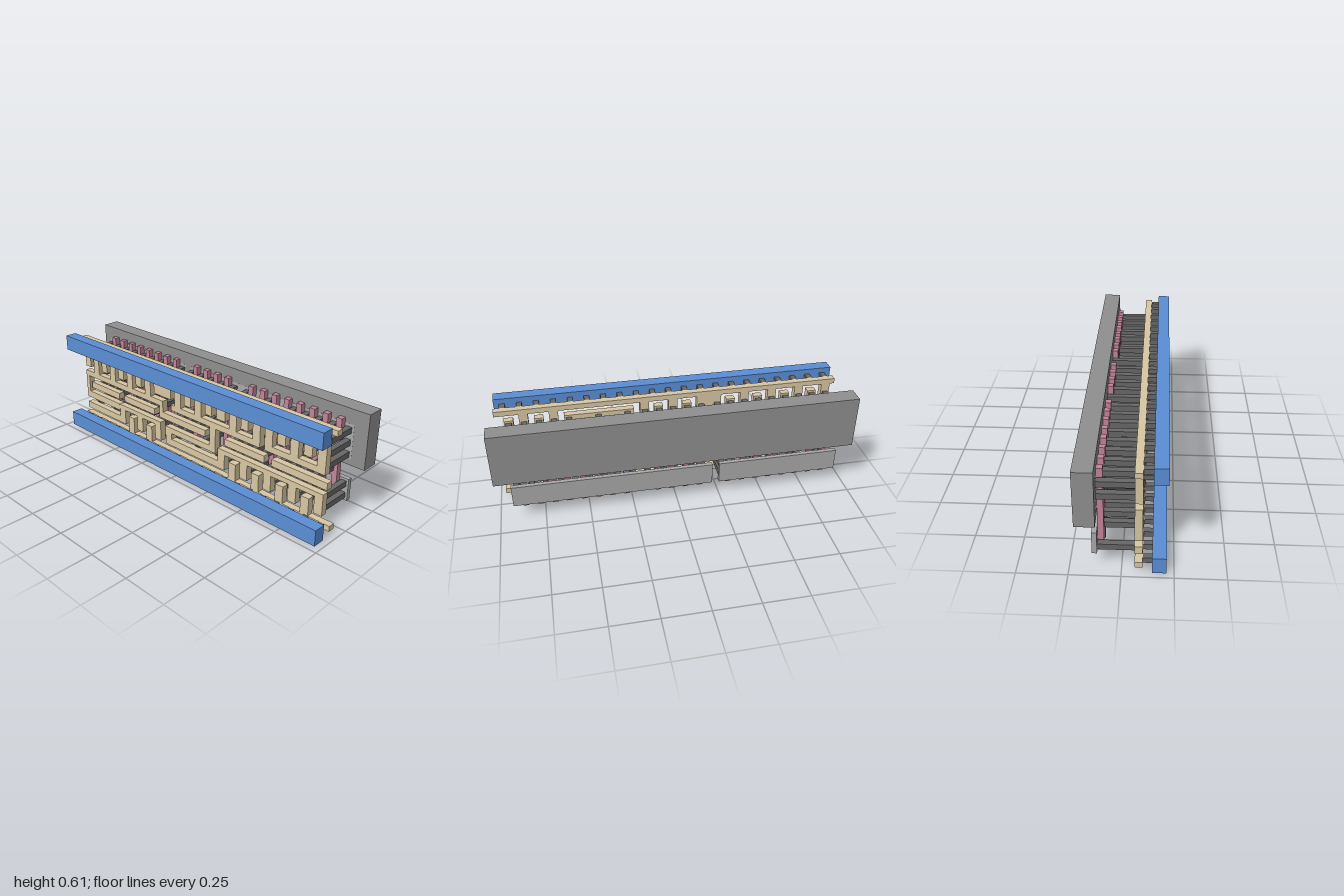
import * as THREE from 'three';

const mat = (color) => new THREE.MeshStandardMaterial({ color });
const MAT = {
  rail: mat(0x5b8fd6), metal: mat(0xdac8a4), gate: mat(0xc4859a),
  contact: mat(0x686868), well: mat(0x909090), diffusion: mat(0xaaaaaa),
};
const PITCH = 0.081, FINGER = 0.05, PIN = 0.032;

export function createModel() {
  const model = new THREE.Group();
  const layer = (name) => {
    const g = new THREE.Group();
    g.name = name;
    model.add(g);
    return g;
  };
  const rails = layer('powerRails'), vias = layer('railVias'), metal = layer('metalTraces');
  const contacts = layer('contacts'), gates = layer('gates'), base = layer('substrate');

  // Axis-aligned block given by its limits
  const block = (parent, name, material, x0, x1, y0, y1, z0, z1) => {
    const m = new THREE.Mesh(new THREE.BoxGeometry(x1 - x0, y1 - y0, z1 - z0), material);
    m.position.set((x0 + x1) / 2, (y0 + y1) / 2, (z0 + z1) / 2);
    m.name = name;
    parent.add(m);
  };
  const trace = (x0, x1, y0, y1) => block(metal, 'metalTrace', MAT.metal, x0, x1, y0, y1, 0.062, 0.1);
  const finger = (x, y0, y1) => trace(x - FINGER / 2, x + FINGER / 2, y0, y1);
  const pins = (x, ...ys) => ys.forEach((y) =>
    block(contacts, 'contactPin', MAT.contact, x - PIN / 2, x + PIN / 2, y - 0.016, y + 0.016, -0.1155, 0.063));

  // Columns between the gates of the three cells
  const A = (i) => -0.916 + PITCH * i;
  const B = (i) => -0.177 + PITCH * i;
  const C = (i) => 0.244 + PITCH * i;
  const TOP = 0.487, MID = 0.42, LOW = 0.355;

  // Well and diffusion strips
  block(base, 'well', MAT.well, -1, 1, 0.297, 0.6, -0.213, -0.1155);
  for (const [x0, x1] of [[-0.945, -0.245], [-0.205, 0.92]]) {
    block(base, 'lowerDiffusion', MAT.diffusion, x0, x1, 0.09, 0.215, -0.14, -0.115);
    block(base, 'upperDiffusion', MAT.diffusion, x0, x1, 0.33, 0.52, -0.14, -0.115);
  }

  // Gates: four stripes joined by a pad, with a metal strap in front
  for (const [col, start] of [[A, 0], [A, 4], [B, 0], [C, 0], [C, 4]]) {
    const x0 = col(start + 0.5), x1 = col(start + 3.5), mid = (x0 + x1) / 2;
    for (let i = 0; i < 4; i++) {
      const x = x0 + PITCH * i;
      block(gates, 'gateStripe', MAT.gate, x - PIN / 2, x + PIN / 2, 0.065, 0.545, -0.115, -0.085);
    }
    block(gates, 'gatePad', MAT.gate, x0 - 0.016, x1 + 0.016, 0.222, 0.308, -0.115, -0.0851);
    trace(x0 - 0.016, x1 + 0.016, 0.25, 0.29);
    [-0.1, -0.035, 0.035, 0.1].forEach((d) => pins(mid + d, 0.268));
  }

  // Power rails, their metal strips and vias
  for (const [y0, y1, m0, m1] of [[0, 0.09, 0.03, 0.061], [0.52, 0.61, 0.55, 0.58]]) {
    block(rails, 'powerRail', MAT.rail, -0.97, 0.965, y0, y1, 0.145, 0.213);
    trace(-0.967, 0.967, m0, m1);
    for (let i = 0; i < 21; i++) {
      const x = -0.92 + 0.092 * i;
      block(vias, 'railVia', MAT.contact, x - 0.015, x + 0.015, m0, m1, 0.1, 0.145);
    }
  }

  // Upper power fingers hang from the strip; comb fingers rise between them
  const hang = (x) => { finger(x, 0.39, 0.55); pins(x, TOP, MID); };
  const rise = (x, top = 0.515) => {
    finger(x, 0.36, top);
    pins(x, LOW, MID);
    if (top > 0.5) pins(x, TOP);
  };
  for (let i = 0; i <= 8; i++) (i % 2 ? rise : hang)(A(i));
  for (let i = 0; i <= 4; i++) (i % 2 ? rise : hang)(B(i));
  trace(A(8), B(0), 0.39, 0.55);
  trace(-0.945, -0.22, 0.325, 0.36);
  trace(-0.15, C(3) + 0.025, 0.325, 0.36);
  // Third cell: top bar with teeth, then a lower comb
  trace(0.206, C(4) + 0.025, 0.488, 0.515);
  for (const i of [0, 2, 4]) {
    finger(C(i), i === 4 ? 0.325 : 0.39, 0.49);
    pins(C(i), TOP, MID);
  }
  trace(0.206, C(0), 0.39, 0.49);
  rise(C(1), 0.45);
  rise(C(3), 0.45);
  trace(C(4), C(8) + 0.025, 0.325, 0.36);
  rise(C(6));
  rise(C(8));
  hang(C(5));
  hang(C(7));

  // Signal links between the upper and lower halves
  trace(-0.945, -0.915, 0.175, 0.33);
  trace(-0.25, -0.22, 0.25, 0.36);
  trace(-0.25, B(1), 0.25, 0.29);
  trace(0.155, 0.2, 0.175, 0.33);
  trace(C(7), 0.935, 0.25, 0.29);

  // Lower bands of the first two gate groups
  trace(-0.945, -0.62, 0.175, 0.218);
  trace(-0.945, A(4), 0.095, 0.138);
  trace(-0.15, 0.2, 0.175, 0.21);
  trace(-0.2, C(0), 0.095, 0.138);
  trace(-0.2, -0.15, 0.095, 0.21);
  for (const col of [A, B]) {
    [1, 3].forEach((i) => pins(col(i), 0.186));
    [0, 2, 4].forEach((i) => pins(col(i), 0.12));
  }

  // Lower combs: teeth hang from a bar, ground fingers rise between them
  for (const [col, first, last] of [[A, 4, 8], [C, 0, 8]]) {
    trace(col(first) - 0.025, col(last) + 0.025, 0.19, 0.218);
    for (let i = first; i <= last; i++) {
      if (i % 2) {
        finger(col(i), 0.06, 0.16);
        pins(col(i), 0.143);
      } else {
        finger(col(i), 0.095, 0.2);
        pins(col(i), 0.12, 0.186);
      }
    }
  }
  return model;
}
